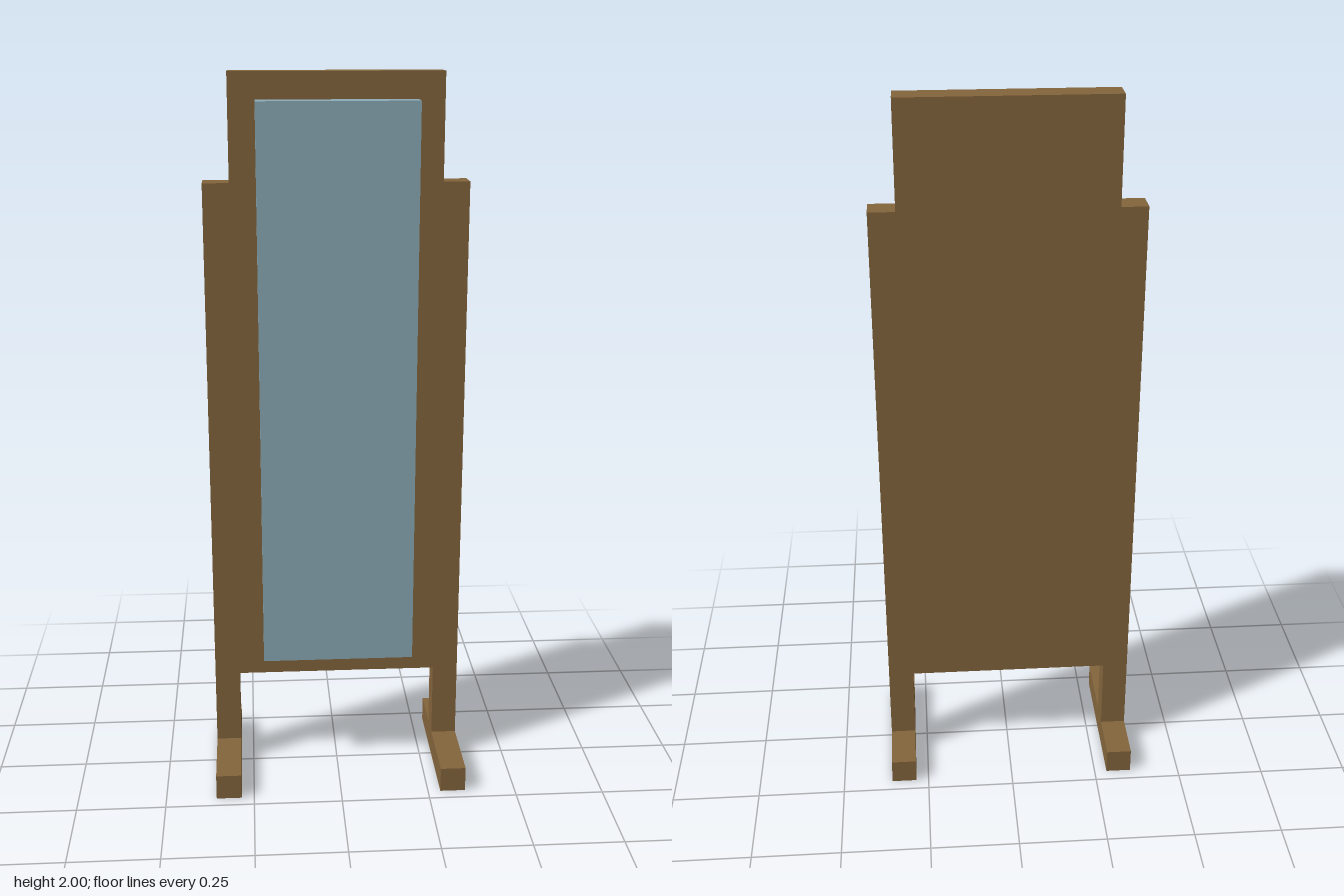
import * as THREE from 'three';

const U = 1 / 14; // the whole stand is laid out on this module

const wood = new THREE.MeshStandardMaterial({ color: 0x84653c, side: THREE.DoubleSide });
const glass = new THREE.MeshStandardMaterial({ color: 0x8dabb7 });

function add(group, name, geometry, material, x, y, z) {
  const mesh = new THREE.Mesh(geometry, material);
  mesh.name = name;
  mesh.position.set(x * U, y * U, z * U);
  group.add(mesh);
}

// Foot: a box left open underneath
function footGeometry() {
  const box = new THREE.BoxGeometry(U, U, 6 * U);
  const index = Array.from(box.index.array);
  index.splice(18, 6); // bottom face
  box.setIndex(index);
  box.clearGroups();
  return box;
}

export function createModel() {
  const group = new THREE.Group();
  group.name = 'standingMirror';

  // Backboard and side posts cut from one plank
  const half = [[4, 28], [4, 24], [5, 24], [5, 1], [4, 1], [4, 4]];
  const outline = [...half, ...half.map(([x, y]) => [-x, y]).reverse()];
  const shape = new THREE.Shape(outline.map(([x, y]) => new THREE.Vector2(x * U, y * U)));
  const frame = new THREE.ExtrudeGeometry(shape, { depth: U, bevelEnabled: false });
  add(group, 'frame', frame, wood, 0, 0, -1);

  // Mirror pane on the front
  add(group, 'mirrorPane', new THREE.BoxGeometry(6 * U, 22 * U, U), glass, 0, 16, 0.5);

  // Feet
  for (const side of [-1, 1]) {
    add(group, side > 0 ? 'leftFoot' : 'rightFoot', footGeometry(), wood, side * 4.5, 0.5, 0);
  }
  return group;
}
